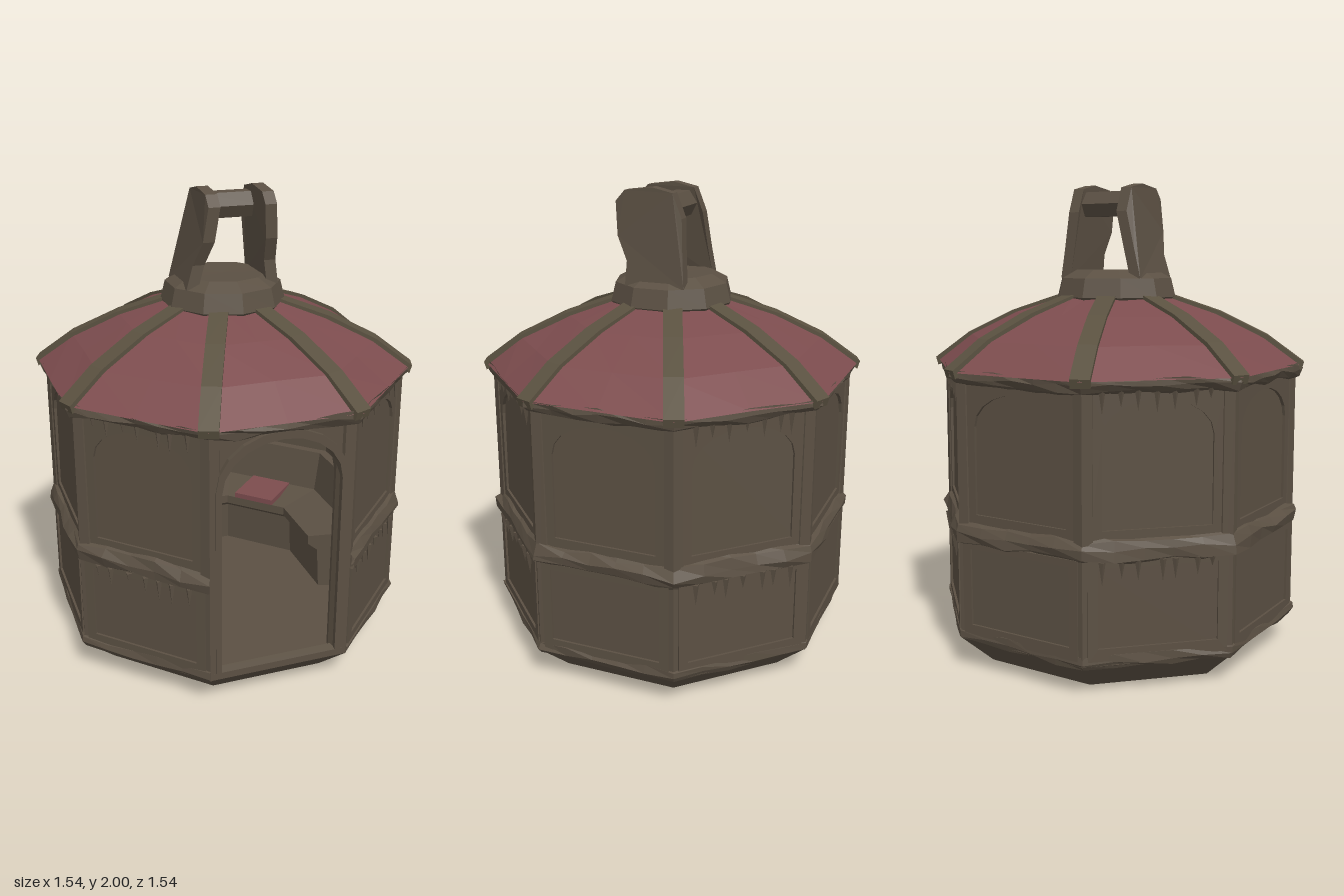
import * as THREE from 'three';

const mat = (name, color) => {
  const m = new THREE.MeshStandardMaterial({ color });
  m.name = name;
  m.side = THREE.DoubleSide;
  return m;
};

// Repeatable noise from a position, -1..1
const noise = (a, b, c) => {
  const s = Math.sin(Math.round(a * 200) * 12.99 + Math.round(b * 200) * 78.23 + Math.round(c * 200) * 37.72) * 437.58;
  return (s - Math.floor(s)) * 2 - 1;
};

const EIGHTH = Math.PI / 4, HALF = Math.PI / 8, C = 1 / Math.cos(HALF);

// Faceted normals
function flat(g) {
  const f = g.index ? g.toNonIndexed() : g;
  f.computeVertexNormals();
  return f;
}

// Octagonal ring: profile is [distance of the flat face from the axis, y]
function ring(profile, { first = 0, faces = 8, sub = 1, rough = 0 } = {}) {
  const pts = profile.map(p => new THREE.Vector2(...p));
  const start = first * EIGHTH - HALF;
  const g = new THREE.LatheGeometry(pts, faces * sub, start, faces * EIGHTH);
  const pos = g.attributes.position, n = pts.length;
  for (let i = 0; i < pos.count; i++) {
    const step = Math.floor(i / n), phi = start + (step / sub) * EIGHTH;
    const off = ((step % sub) / sub) * EIGHTH - HALF;
    const x = pts[i % n].x * Math.sin(phi) / Math.cos(off);
    const z = pts[i % n].x * Math.cos(phi) / Math.cos(off);
    const y = pts[i % n].y, d = 1 + rough * noise(x, y, z);
    pos.setXYZ(i, x * d, y + rough * noise(z, x, y), z * d);
  }
  return flat(g);
}

// Arched outline standing on y0
function arch(T, w, y0, spring, rise) {
  const s = new T();
  s.moveTo(-w, y0);
  s.lineTo(w, y0);
  s.lineTo(w, spring);
  s.absellipse(0, spring, w, rise, 0, Math.PI, false);
  s.lineTo(-w, y0);
  return s;
}

function rect(T, w, y0, y1) {
  const s = new T();
  s.moveTo(-w, y0); s.lineTo(w, y0); s.lineTo(w, y1); s.lineTo(-w, y1); s.lineTo(-w, y0);
  return s;
}

const extrude = (shape, depth, z) => {
  const g = new THREE.ExtrudeGeometry(shape, { depth, bevelEnabled: false, curveSegments: 5 });
  return flat(g.translate(0, 0, z));
};

export function createModel() {
  const wood = mat('weathered wood', 0x5b5043);
  const rib = mat('roof rib', 0x5a5140);
  const red = mat('faded red', 0x7c4c4e);
  const model = new THREE.Group();
  model.name = 'octagonalCabin';
  const add = (name, g, m = wood, parent = model) => {
    const mesh = new THREE.Mesh(g, m);
    mesh.name = name;
    parent.add(mesh);
    return mesh;
  };

  // Tapered base and floor
  add('base', ring([[0, 0], [0.59, 0], [0.725, 0.13], [0.725, 0.16], [0.69, 0.17], [0.69, 0.12], [0, 0.12]]));
  add('baseTrim', ring([[0.72, 0.12], [0.735, 0.14], [0.73, 0.17], [0.70, 0.175]], { first: 1, faces: 7, sub: 5, rough: 0.008 }));

  // Seven closed walls, with the eighth left for the doorway
  add('walls', ring([[0.72, 0.13], [0.722, 0.55], [0.705, 0.6], [0.7, 1.22], [0.64, 1.22], [0.64, 0.12]], { first: 1, faces: 7 }));
  add('waistRail', ring([[0.71, 0.53], [0.738, 0.55], [0.745, 0.585], [0.725, 0.62], [0.69, 0.64]], { first: 1, faces: 7, sub: 5, rough: 0.011 }));

  // Doorway wall with its arched trim
  const front = rect(THREE.Shape, 0.29, 0.12, 1.22);
  front.holes.push(arch(THREE.Path, 0.25, 0.14, 0.96, 0.2));
  add('doorWall', extrude(front, 0.06, 0.645));
  const doorTrim = arch(THREE.Shape, 0.275, 0.13, 0.97, 0.225);
  doorTrim.holes.push(arch(THREE.Path, 0.25, 0.145, 0.96, 0.2));
  add('doorTrim', extrude(doorTrim, 0.025, 0.7));

  // Raised frames on each closed wall
  const upper = rect(THREE.Shape, 0.27, 0.62, 1.21);
  upper.holes.push(arch(THREE.Path, 0.22, 0.66, 1.02, 0.14));
  const upperG = extrude(upper, 0.016, 0.698);
  const lower = rect(THREE.Shape, 0.28, 0.15, 0.55);
  lower.holes.push(rect(THREE.Path, 0.24, 0.2, 0.52));
  const lowerG = extrude(lower, 0.012, 0.718);
  const spike = flat(new THREE.ConeGeometry(0.014, 1, 4).rotateX(Math.PI));
  for (let k = 1; k < 8; k++) {
    const side = new THREE.Group();
    side.name = 'wallDetail' + k;
    side.rotation.y = k * EIGHTH;
    add('upperFrame', upperG, wood, side);
    add('lowerFrame', lowerG, wood, side);
    // Ragged splinters on the diagonal walls
    for (let i = 0; k % 2 && i < 7; i++) {
      const len = 0.07 + 0.03 * noise(i, k, 1), x = -0.21 + i * 0.07;
      for (const [y, z] of [[0.545, 0.733], [1.2, 0.72]]) {
        const s = add('splinter', spike, wood, side);
        s.scale.y = len;
        s.position.set(x + 0.015 * noise(k, i, y), y - len / 2, z);
      }
    }
    model.add(side);
  }

  // Corner posts and roof ribs
  const roofLine = [[0.755, 1.235], [0.61, 1.35], [0.42, 1.45], [0.2, 1.53]];
  const post = flat(new THREE.CylinderGeometry(0.042, 0.045, 1.09, 6));
  const ribShape = new THREE.Shape([
    ...roofLine.map(([a, y]) => new THREE.Vector2(a * C, y + 0.01)),
    ...roofLine.slice().reverse().map(([a, y]) => new THREE.Vector2(a * C - 0.01, y - 0.025)),
  ]);
  const ribG = extrude(ribShape, 0.078, -0.039);
  for (let k = 0; k < 8; k++) {
    const a = HALF + k * EIGHTH;
    const p = add('cornerPost', post);
    p.position.set(Math.sin(a) * 0.742, 0.675, Math.cos(a) * 0.742);
    p.rotation.y = a;
    add('roofRib', ribG, rib).rotation.y = a;
  }

  // Roof, ragged eave and ceiling
  add('roof', ring(roofLine, { sub: 2, rough: 0.003 }), red);
  add('eave', ring([[0.69, 1.17], [0.735, 1.19], [0.75, 1.215], [0.75, 1.24]], { sub: 6, rough: 0.01 }));
  add('ceiling', ring([[0.2, 1.5], [0.42, 1.42], [0.7, 1.2]]));

  // Bench around the back, with closed ends
  const bench = [[0.65, 0.6], [0.6, 0.6], [0.57, 0.41], [0.37, 0.38], [0.37, 0.34], [0.41, 0.31], [0.42, 0.12]];
  add('bench', ring(bench, { first: 2, faces: 5 }));
  const endShape = new THREE.Shape([...bench, [0.65, 0.12]].map(([a, y]) => new THREE.Vector2(a * C, y)));
  const endG = new THREE.ShapeGeometry(endShape);
  for (const s of [-1, 1]) {
    add('benchEnd', endG).rotation.y = -Math.PI / 2 + s * (Math.PI / 2 - HALF) + (s > 0 ? 0 : Math.PI);
    const pad = add('seatPad', new THREE.BoxGeometry(0.2, 0.025, 0.24), red);
    pad.position.set(s * 0.33, 0.405, -0.33);
    pad.rotation.y = -s * EIGHTH;
  }

  // Roof collar
  const collar = [[0.23, 1.48], [0.265, 1.52], [0.245, 1.6], [0.18, 1.635], [0, 1.63]];
  add('collar', flat(new THREE.LatheGeometry(collar.map(p => new THREE.Vector2(...p)), 10)));

  // Hanger: two leaning cheeks joined by a bar
  const outline = [[0.13, 1.6], [0.125, 1.7], [0.17, 1.8], [0.18, 1.94], [0.14, 1.985], [0.02, 2],
    [-0.07, 1.98], [-0.11, 1.88], [-0.12, 1.72], [-0.13, 1.6]];
  const cheek = new THREE.Shape(outline.map(([z, y]) => new THREE.Vector2(-z, y)));
  for (const s of [-1, 1]) {
    const g = new THREE.ExtrudeGeometry(cheek, { depth: 0.05, bevelEnabled: false });
    g.translate(0, 0, -0.025).rotateY(Math.PI / 2);
    const pos = g.attributes.position, top = s > 0 ? 0.145 : 0.095;
    for (let i = 0; i < pos.count; i++) {
      const t = Math.min(1, (pos.getY(i) - 1.6) / 0.27);
      pos.setX(i, pos.getX(i) + s * (0.175 + (top - 0.175) * t));
    }
    add('hangerCheek', flat(g));
  }
  const bar = add('hangerBar', flat(new THREE.CylinderGeometry(0.06, 0.06, 0.25, 6).rotateZ(Math.PI / 2)));
  bar.position.set(0.025, 1.915, -0.02);
  return model;
}
